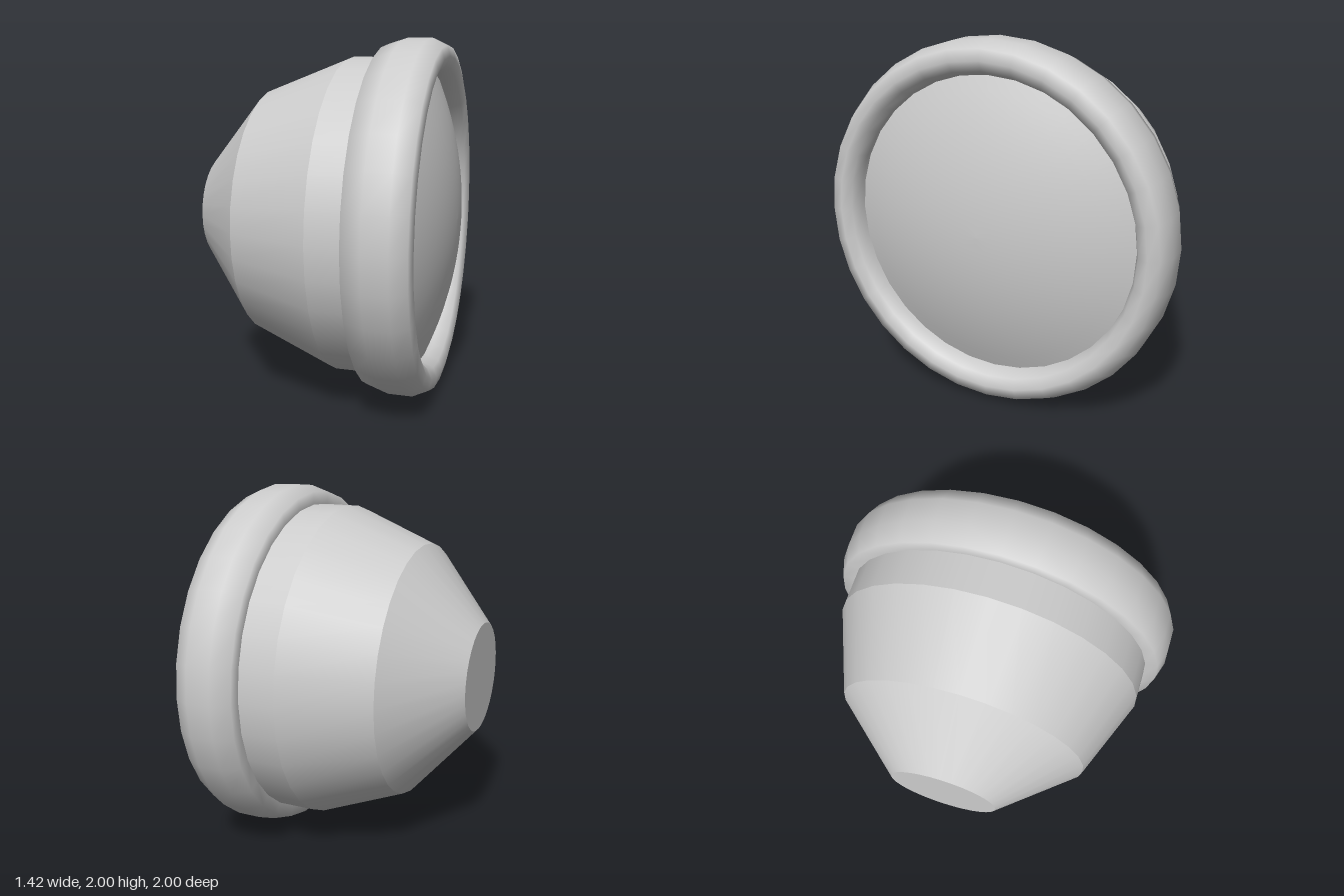
import * as THREE from 'three';

const SIDES = 32;

export function createModel() {
  const model = new THREE.Group();
  model.name = 'roundLamp';
  const grey = new THREE.MeshStandardMaterial({ color: 0xcccccc, side: THREE.DoubleSide });
  grey.name = 'plain grey';

  // Revolves a [position along x, radius] profile around the x axis
  const revolve = (name, profile, parent = model) => {
    const points = profile.map(([x, r]) => new THREE.Vector2(r, x));
    const geometry = new THREE.LatheGeometry(points, SIDES);
    geometry.rotateZ(-Math.PI / 2);
    geometry.translate(0, 1, 0);
    const mesh = new THREE.Mesh(geometry, grey);
    mesh.name = name;
    parent.add(mesh);
  };

  // Housing: one band per profile step keeps the edges between them sharp
  const housing = new THREE.Group();
  housing.name = 'housing';
  model.add(housing);
  const steps = [[-0.715, 0], [-0.715, 0.305], [-0.365, 0.712], [0.1, 0.895], [0.31, 0.895]];
  const names = ['backPlate', 'rearCone', 'frontCone', 'collar'];
  names.forEach((name, i) => revolve(name, [steps[i], steps[i + 1]], housing));

  // Rounded rim around the lens
  revolve('rim', [
    [0.302, 0.89], [0.302, 0.966], [0.41, 1], [0.545, 1], [0.63, 0.96],
    [0.645, 0.9], [0.62, 0.845], [0.56, 0.82], [0.5, 0.815],
  ]);

  // Shallow domed lens
  const dome = [];
  for (let i = 0; i <= 10; i++) {
    const r = 0.825 * (1 - i / 10);
    dome.push([0.71 - 0.26 * r * r, r]);
  }
  revolve('lens', dome);

  return model;
}
